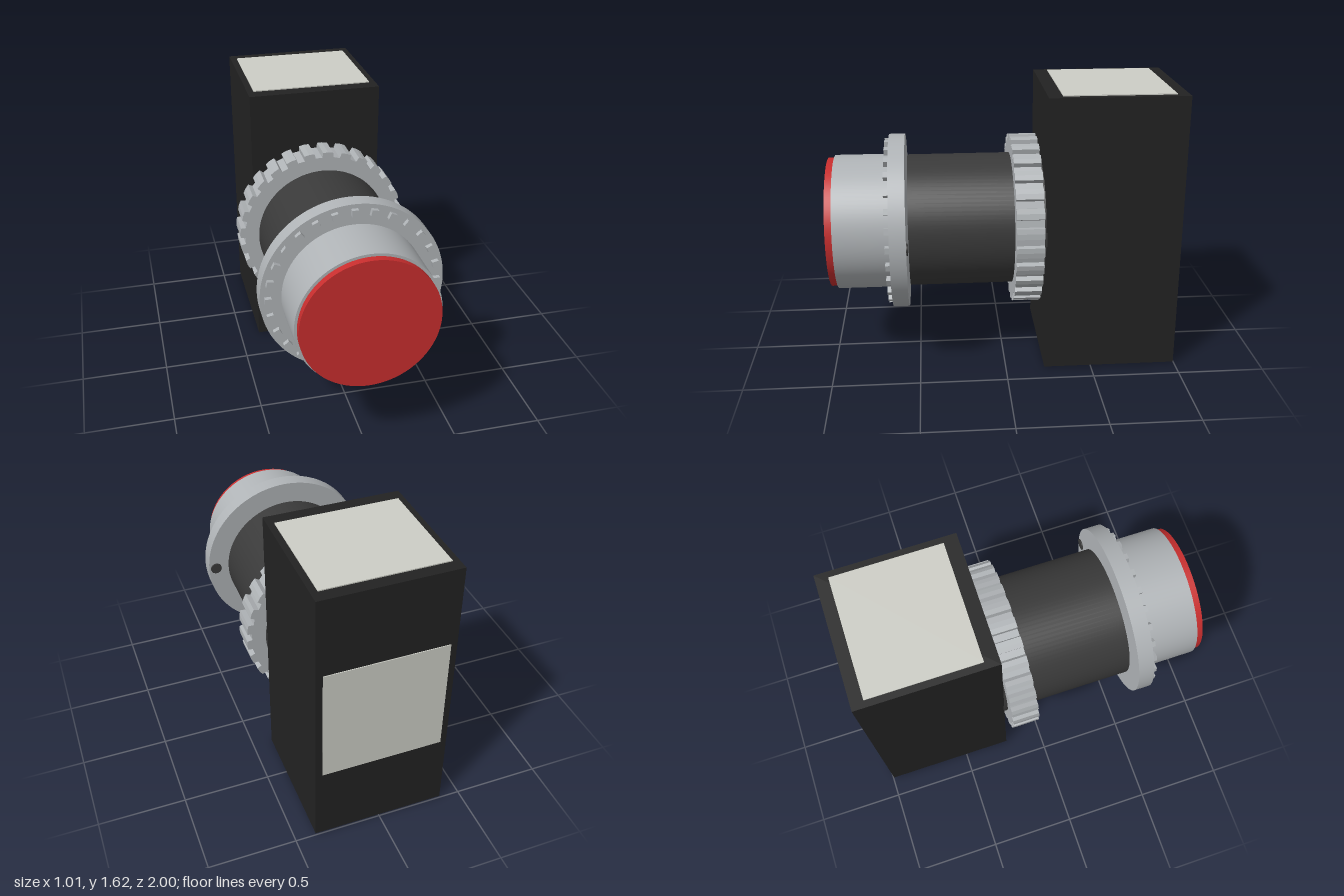
import * as THREE from 'three';

const mat = (name, color) => {
  const m = new THREE.MeshStandardMaterial({ color });
  m.name = name;
  return m;
};

export function createModel() {
  const model = new THREE.Group();
  model.name = 'pushButton';
  const black = mat('housing black', 0x222222);
  const charcoal = mat('barrel charcoal', 0x3a3a3a);
  const metal = mat('satin grey metal', 0xb0b4b7);
  const red = mat('button red', 0xc92e2e);
  const label = mat('label off-white', 0xcdcec6);

  const add = (parent, name, geometry, material, x = 0, y = 0, z = 0) => {
    const mesh = new THREE.Mesh(geometry, material);
    mesh.name = name;
    mesh.position.set(x, y, z);
    parent.add(mesh);
    return mesh;
  };

  // Contact block with thin label plates on top, bottom and back
  const midY = 0.8125, midZ = -0.61;
  add(model, 'contactBlock', new THREE.BoxGeometry(0.765, 1.609, 0.77), black, 0, midY, midZ);
  const flat = new THREE.BoxGeometry(0.69, 0.008, 0.62);
  add(model, 'topLabel', flat, label, 0, 1.619, midZ - 0.005);
  add(model, 'bottomLabel', flat, label, 0, 0.005, midZ - 0.005);
  add(model, 'backLabel', new THREE.BoxGeometry(0.69, 0.69, 0.008), label, 0, midY, -0.996);

  // Everything round sits on one axis pointing forward
  const head = new THREE.Group();
  head.name = 'buttonHead';
  head.position.y = midY;
  model.add(head);
  const disc = (name, r, z0, z1, material, x = 0, sides = 96) => add(
    head, name, new THREE.CylinderGeometry(r, r, z1 - z0, sides).rotateX(Math.PI / 2),
    material, x, 0, (z0 + z1) / 2);

  disc('barrel', 0.385, -0.23, 0.543, charcoal);
  disc('bezelFlange', 0.507, 0.553, 0.645, metal);
  disc('bezelCollar', 0.391, 0.64, 0.96, metal);
  disc('buttonCap', 0.376, 0.95, 1.0, red);
  disc('locatingPin', 0.034, 0.545, 0.56, charcoal, 0.463, 24);

  // Ring of small square studs on the flange
  const count = 28;
  const studGeometry = new THREE.BoxGeometry(0.036, 0.036, 0.03);
  for (let i = 0; i < count; i++) {
    const a = (i / count) * Math.PI * 2;
    const stud = add(head, 'flangeStud', studGeometry, metal,
      0.465 * Math.cos(a), 0.465 * Math.sin(a), 0.656);
    stud.rotation.z = a;
  }

  // Notched lock nut around the barrel
  const outline = new THREE.Shape();
  for (let i = 0; i < count; i++) {
    [[0, 0.465], [0.38, 0.468], [0.42, 0.495], [0.7, 0.497], [0.96, 0.495]].forEach(([t, r], k) => {
      const a = ((i + t) / count) * Math.PI * 2;
      const x = r * Math.cos(a), y = r * Math.sin(a);
      if (i + k === 0) outline.moveTo(x, y);
      else outline.lineTo(x, y);
    });
  }
  outline.closePath();
  outline.holes.push(new THREE.Path().absarc(0, 0, 0.384, 0, Math.PI * 2, true));
  add(head, 'lockNut',
    new THREE.ExtrudeGeometry(outline, { depth: 0.155, bevelEnabled: false, curveSegments: 48 }),
    metal, 0, 0, -0.205);

  return model;
}
